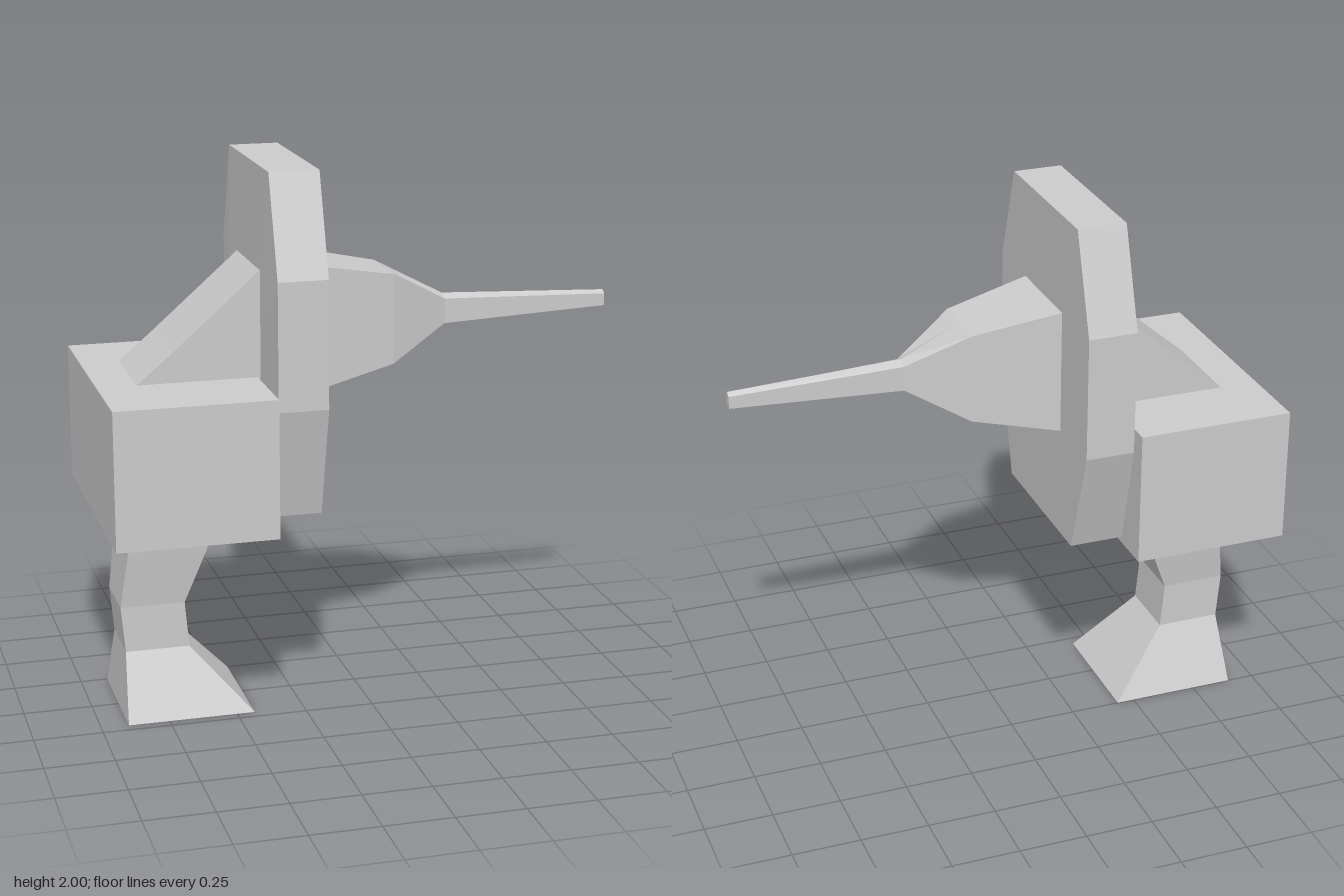
import * as THREE from 'three';

const material = new THREE.MeshStandardMaterial({ color: 0xcccccc, flatShading: true });

// Closed solid through matching convex rings, each wound counter-clockwise about the path direction
function loft(name, rings) {
  const n = rings[0].length, last = rings.length - 1, index = [];
  for (let i = 0; i < last; i++) {
    for (let j = 0; j < n; j++) {
      const k = (j + 1) % n, a = i * n + j, b = i * n + k;
      index.push(a, b, b + n, a, b + n, a + n);
    }
  }
  for (let j = 1; j < n - 1; j++) {
    index.push(0, j + 1, j, last * n, last * n + j, last * n + j + 1);
  }
  let geometry = new THREE.BufferGeometry();
  geometry.setAttribute('position', new THREE.Float32BufferAttribute(rings.flat(2), 3));
  geometry.setIndex(index);
  geometry = geometry.toNonIndexed();
  geometry.computeVertexNormals();
  const mesh = new THREE.Mesh(geometry, material);
  mesh.name = name;
  return mesh;
}

// Five-sided ring across x: flat bottom, straight sides, ridge on top
const ridgeRing = ([x, bottom, shoulder, ridge, z0, z1]) => [
  [x, bottom, z0], [x, shoulder, z0], [x, ridge, (z0 + z1) / 2], [x, shoulder, z1], [x, bottom, z1],
];

// Rectangular ring across y
const levelRing = ([y, x0, x1, z0, z1]) => [[x0, y, z0], [x0, y, z1], [x1, y, z1], [x1, y, z0]];

export function createModel() {
  const model = new THREE.Group();
  model.name = 'mountedGun';

  // Rear housing
  const housing = new THREE.Mesh(new THREE.BoxGeometry(0.575, 0.5, 0.96), material);
  housing.name = 'housing';
  housing.position.set(-0.685, 1.0, 0);
  model.add(housing);

  // Octagonal shield, its lower rear edge leaning slightly back
  const outline = [
    [0.77, -0.32], [1.18, -0.45], [1.64, -0.45], [2, -0.33],
    [2, 0.28], [1.64, 0.4], [1.18, 0.4], [0.77, 0.29],
  ];
  model.add(loft('shield', [
    outline.map(([y, z]) => [y < 1 ? -0.4 : -0.38, y, z]),
    outline.map(([y, z]) => [-0.2, y, z]),
  ]));

  // Sloping brace behind the shield
  model.add(loft('brace', [
    [-0.83, 1.25], [-0.7, 1.36], [-0.38, 1.64],
  ].map(([x, top]) => [[x, 1.18, -0.2], [x, top, -0.2], [x, top, 0.16], [x, 1.18, 0.16]])));

  // Tapering barrel base
  model.add(loft('barrelBase', [
    [-0.2, 1.18, 1.64, 1.64, -0.2, 0.16],
    [0.12, 1.25, 1.58, 1.58, -0.155, 0.105],
    [0.34, 1.365, 1.457, 1.472, -0.06, 0.012],
  ].map(ridgeRing)));

  // Slim ridged barrel
  model.add(loft('barrel', [
    [0.34, 1.365, 1.457, 1.472, -0.06, 0.012],
    [0.97, 1.39, 1.435, 1.447, -0.042, -0.006],
  ].map(ridgeRing)));

  // Pedestal with a narrow waist and flared foot
  model.add(loft('pedestal', [
    [0, -0.9, -0.435, -0.25, 0.21],
    [0.24, -0.885, -0.65, -0.14, 0.1],
    [0.41, -0.9, -0.665, -0.14, 0.1],
    [0.6, -0.875, -0.59, -0.165, 0.125],
    [0.76, -0.865, -0.535, -0.185, 0.145],
  ].map(levelRing)));

  return model;
}
